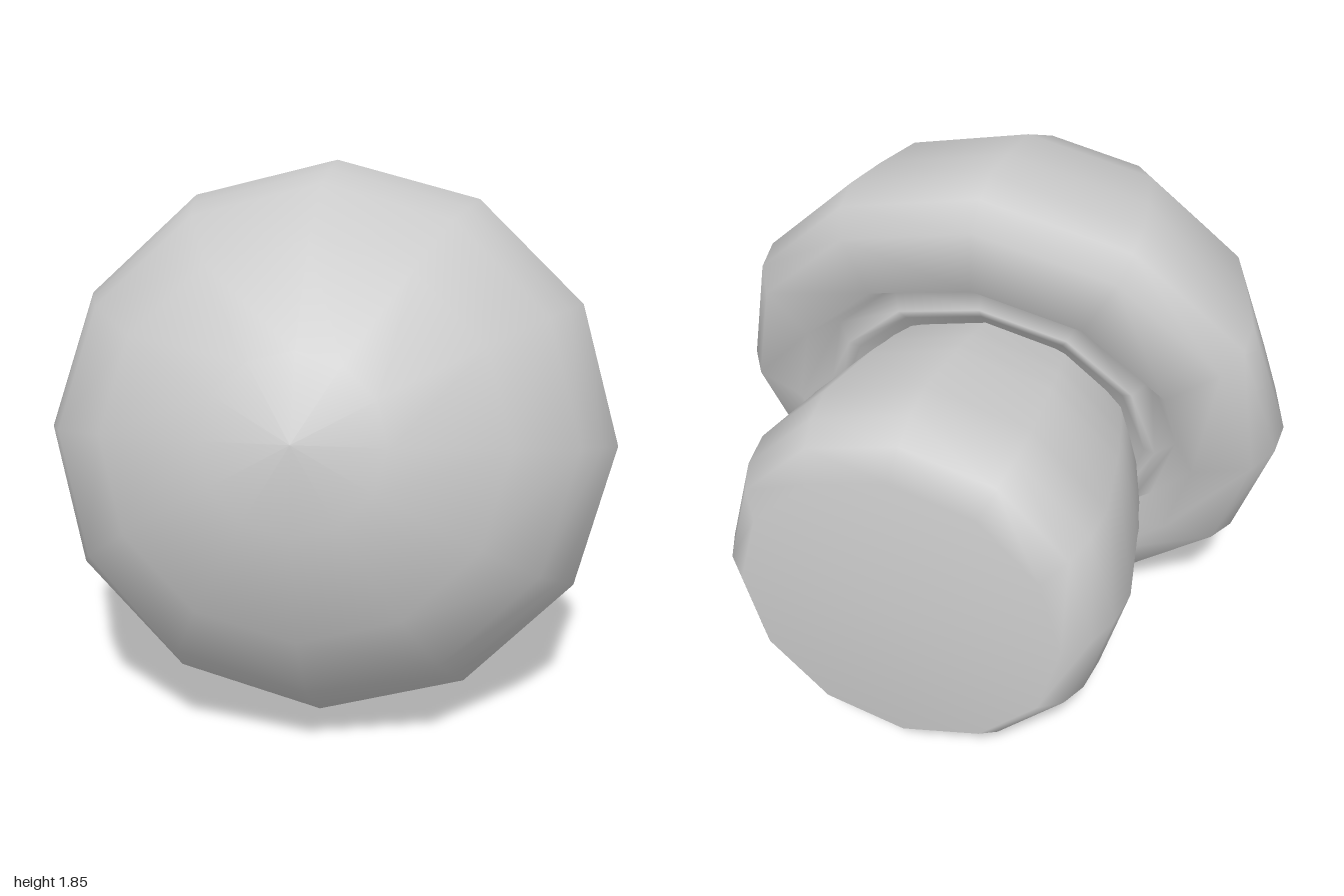
import * as THREE from 'three';

const SIDES = 12;
const TILT = 0.25; // the cap leans back slightly

function lathe(profile) {
  return new THREE.LatheGeometry(profile.map(([r, h]) => new THREE.Vector2(r, h)), SIDES);
}

export function createModel() {
  const group = new THREE.Group();
  const material = new THREE.MeshStandardMaterial({ color: 0xcccccc, side: THREE.DoubleSide });

  // Mushroom cap: grooved underside, rolled rim, domed front
  const capGeo = lathe([
    [0.4, 0.22], [0.54, 0.15], [0.58, 0.14], [0.64, 0.2], [0.72, 0.09], [0.91, 0.155],
    [0.97, 0.25], [0.98, 0.36], [0.92, 0.53], [0.84, 0.73], [0.63, 0.98], [0.28, 1.178], [0, 1.215],
  ]);
  capGeo.scale(1, 1, 0.965);
  capGeo.rotateX(Math.PI / 2 - TILT);
  const cap = new THREE.Mesh(capGeo, material);
  cap.name = 'cap';
  cap.position.set(0, 0.82, -0.21);
  group.add(cap);

  // Stem: swells toward the flat back end and runs into the cap
  const stemProfile = [
    [0, -1], [0.52, -1], [0.595, -0.92], [0.637, -0.82], [0.655, -0.69], [0.61, -0.42],
    [0.605, -0.38], [0.585, -0.3], [0.575, -0.25], [0.5, 0], [0.42, 0.2],
  ];
  const stemGeo = lathe(stemProfile);
  stemGeo.rotateX(Math.PI / 2);
  stemGeo.scale(1, 0.985, 1);

  // Small opening on the underside of the stem, with a dented edge
  const rows = stemProfile.length;
  const first = 5, count = 3;
  const pos = stemGeo.attributes.position;
  for (const column of [0, SIDES]) {
    for (const row of [first + 1, first + 2]) {
      const i = column * rows + row;
      pos.setY(i, pos.getY(i) + 0.04);
    }
  }
  const index = Array.from(stemGeo.index.array);
  index.splice(first * 6, count * 6);
  stemGeo.setIndex(index);

  const stem = new THREE.Mesh(stemGeo, material);
  stem.name = 'stem';
  stem.position.y = 0.775;
  group.add(stem);

  return group;
}
